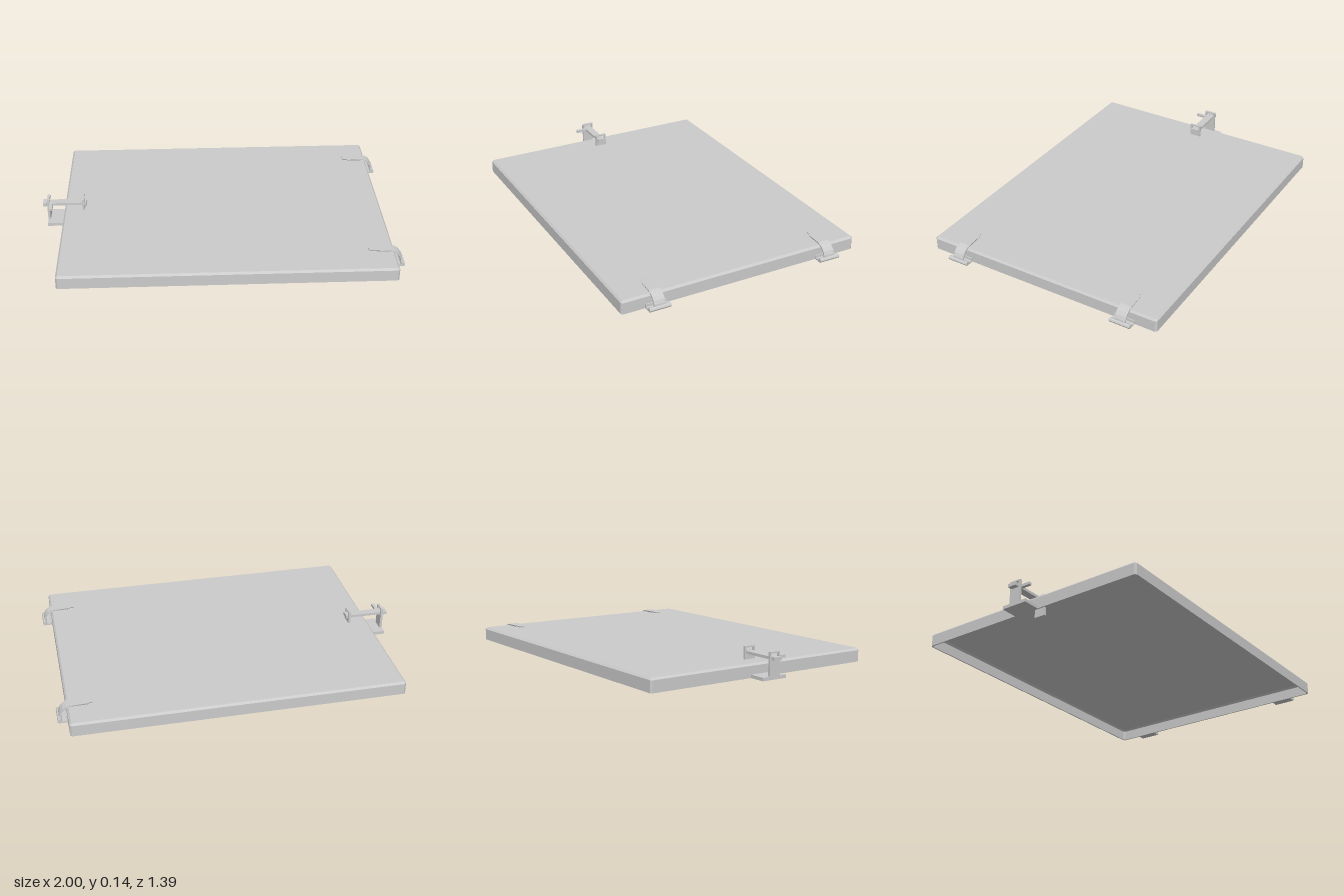
import * as THREE from 'three';

const material = new THREE.MeshStandardMaterial({ color: 0xcccccc, flatShading: true, side: THREE.DoubleSide });

function add(parent, name, geometry, x = 0, y = 0, z = 0) {
  const mesh = new THREE.Mesh(geometry, material);
  mesh.name = name;
  mesh.position.set(x, y, z);
  parent.add(mesh);
  return mesh;
}

// box given by its limits on each axis
function block(parent, name, [x0, x1], [y0, y1], [z0, z1]) {
  return add(parent, name, new THREE.BoxGeometry(x1 - x0, y1 - y0, z1 - z0),
    (x0 + x1) / 2, (y0 + y1) / 2, (z0 + z1) / 2);
}

// rectangle with clipped corners, as a ring at height y
function ring(hx, hz, c, y) {
  return [[hx, hz - c], [hx - c, hz], [c - hx, hz], [-hx, hz - c],
    [-hx, c - hz], [c - hx, -hz], [hx - c, -hz], [hx, c - hz]].map(([x, z]) => [x, y, z]);
}

// hollow lid: outside up, over the top, then inside back to the rim
function lidGeometry() {
  const hx = 0.912, hz = 0.695, t = 0.007, b = 0.01;
  const outer = [ring(hx, hz, b, 0), ring(hx, hz, b, 0.064), ring(hx - b, hz - b, 0.003, 0.075)];
  const inner = [ring(hx - t - b, hz - t - b, 0.003, 0.068), ring(hx - t, hz - t, b, 0.058), ring(hx - t, hz - t, b, 0)];
  const pos = [];
  const tri = (a, c, d) => pos.push(...a, ...c, ...d);
  const cap = (r, flip) => {
    for (let i = 1; i < 7; i++) flip ? tri(r[0], r[i], r[i + 1]) : tri(r[0], r[i + 1], r[i]);
  };
  const wall = (a, d) => {
    for (let i = 0; i < 8; i++) {
      const j = (i + 1) % 8;
      tri(a[i], d[i], d[j]);
      tri(a[i], d[j], a[j]);
    }
  };
  wall(outer[0], outer[1]);
  wall(outer[1], outer[2]);
  wall(inner[0], inner[1]);
  wall(inner[1], inner[2]);
  wall(inner[2], outer[0]);
  cap(outer[2], false);
  cap(inner[0], true);
  // every ring runs clockwise seen from above, so turn all faces outward
  for (let i = 0; i < pos.length; i += 9) {
    for (let k = 0; k < 3; k++) [pos[i + 3 + k], pos[i + 6 + k]] = [pos[i + 6 + k], pos[i + 3 + k]];
  }
  const g = new THREE.BufferGeometry();
  g.setAttribute('position', new THREE.Float32BufferAttribute(pos, 3));
  g.computeVertexNormals();
  return g;
}

// bent sheet strap following a side path, with its free end tapered
function strapGeometry(path, t, width) {
  const pts = path.map(([x, y]) => new THREE.Vector2(x, y));
  const inside = pts.map((p, i) => {
    const d = pts[Math.min(i + 1, pts.length - 1)].clone().sub(pts[Math.max(i - 1, 0)]).normalize();
    return new THREE.Vector2(p.x + d.y * t, p.y - d.x * t);
  });
  const g = new THREE.ExtrudeGeometry(new THREE.Shape([...pts, ...inside.reverse()]),
    { depth: width, bevelEnabled: false });
  g.translate(0, 0, -width / 2);
  const p = g.attributes.position;
  for (let i = 0; i < p.count; i++) {
    const x = p.getX(i);
    const s = x < 0.81 ? 0.45 : x < 0.83 ? 0.75 : x < 0.867 ? 0.93 : 1;
    p.setZ(i, p.getZ(i) * s);
  }
  g.computeVertexNormals();
  return g;
}

// upright plate with a square window, facing along x
function framePlate(x0, x1, y0, y1, halfWidth) {
  const s = new THREE.Shape([[-halfWidth, y0], [halfWidth, y0], [halfWidth, y1], [-halfWidth, y1]]
    .map(([a, c]) => new THREE.Vector2(a, c)));
  s.holes.push(new THREE.Path([[-0.024, 0.101], [-0.024, 0.137], [0.024, 0.137], [0.024, 0.101]]
    .map(([a, c]) => new THREE.Vector2(a, c))));
  const g = new THREE.ExtrudeGeometry(s, { depth: x1 - x0, bevelEnabled: false });
  g.rotateY(Math.PI / 2);
  g.translate(x0, 0, 0);
  return g;
}

export function createModel() {
  const model = new THREE.Group();
  model.name = 'hatchCover';

  add(model, 'lid', lidGeometry(), 0.033, 0, 0);

  // pair of hinges on the left edge
  for (const z of [-0.51, 0.505]) {
    const hinge = new THREE.Group();
    hinge.name = 'hinge';
    hinge.position.z = z;
    add(hinge, 'hingeStrap', strapGeometry([[0.805, 0.083], [0.825, 0.084], [0.862, 0.084], [0.925, 0.084],
      [0.945, 0.078], [0.965, 0.067], [0.978, 0.052], [0.987, 0.033], [0.99, 0.014]], 0.009, 0.062));
    block(hinge, 'hingeLeaf', [0.943, 0.985], [0.002, 0.011], [-0.06, 0.06]);
    block(hinge, 'hingeBackPlate', [0.943, 0.951], [0.002, 0.024], [-0.06, 0.06]);
    const knuckle = add(hinge, 'hingeKnuckle', new THREE.CylinderGeometry(0.012, 0.012, 0.12, 8), 0.987, 0.012, 0);
    knuckle.rotation.x = Math.PI / 2;
    model.add(hinge);
  }

  // sliding bolt latch on the right edge
  const latch = new THREE.Group();
  latch.name = 'latch';
  block(latch, 'latchFoot', [-0.975, -0.878], [0, 0.018], [-0.077, 0.075]);
  add(latch, 'latchUpright', framePlate(-0.975, -0.961, 0.01, 0.145, 0.033));
  add(latch, 'latchKeeper', framePlate(-0.775, -0.762, 0.02, 0.145, 0.033));
  block(latch, 'boltBar', [-1, -0.75], [0.104, 0.119], [-0.022, 0.022]);
  block(latch, 'boltHandle', [-0.961, -0.943], [0.104, 0.119], [0.02, 0.083]);
  block(latch, 'boltEnd', [-1, -0.978], [0.102, 0.121], [-0.025, 0.025]);
  block(latch, 'boltTip', [-0.76, -0.75], [0.102, 0.121], [-0.025, 0.025]);
  model.add(latch);

  return model;
}
